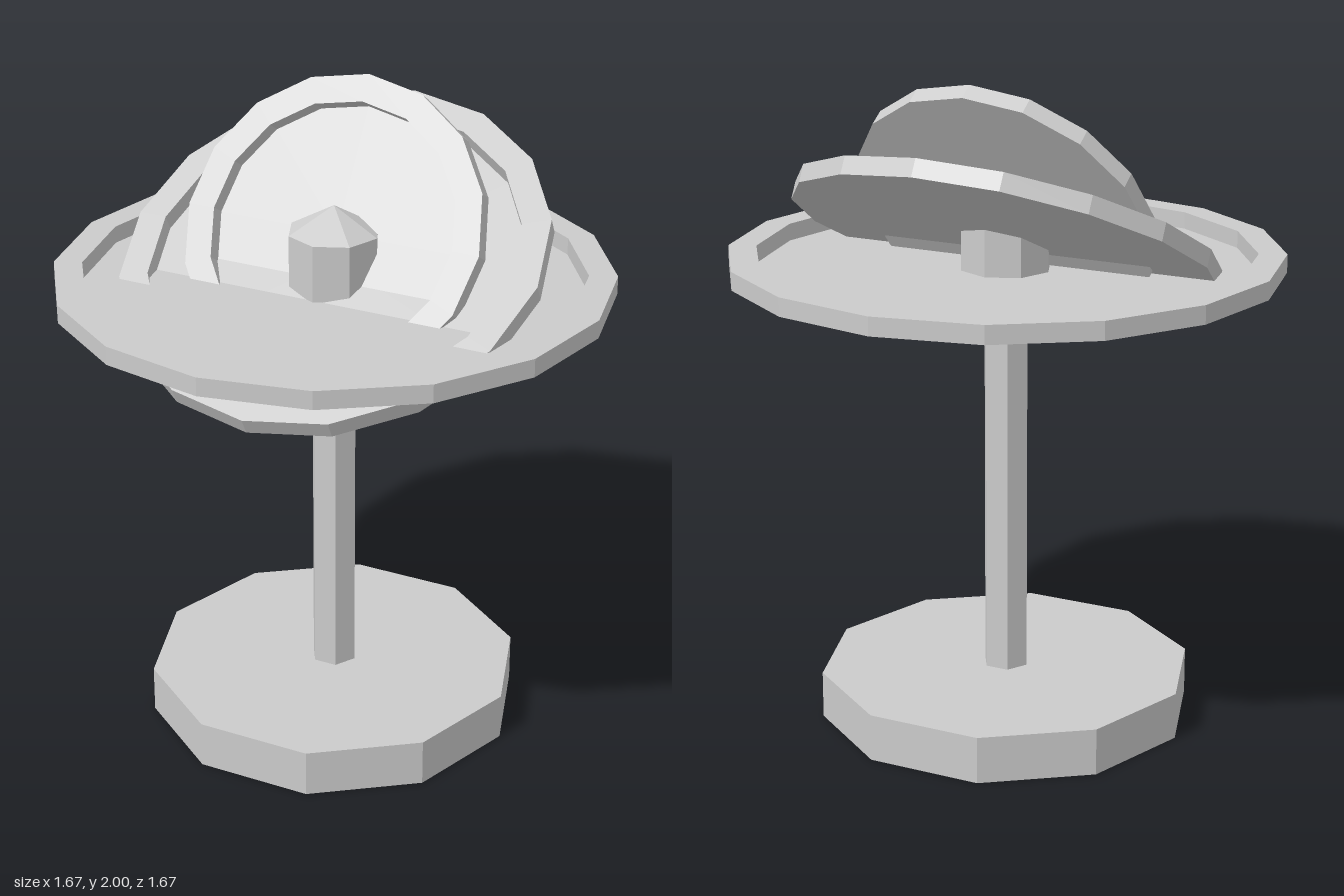
import * as THREE from 'three';

const material = new THREE.MeshStandardMaterial({ color: 0xcccccc, flatShading: true });

function addMesh(group, name, geometry, y) {
  const mesh = new THREE.Mesh(geometry, material);
  mesh.name = name;
  mesh.position.y = y;
  group.add(mesh);
  return mesh;
}

// Upright prism or cone from y0 to y1, with a corner on the x axis
function prism(group, name, rTop, rBottom, y0, y1, sides) {
  const geometry = new THREE.CylinderGeometry(rTop, rBottom, y1 - y0, sides);
  geometry.rotateY(Math.PI / 2);
  return addMesh(group, name, geometry, (y0 + y1) / 2);
}

// Shallow tray: flat rim around a thin floor level with the underside
function tray(radius, inner, height = 0.056, floor = 0.003) {
  const h = height / 2;
  const profile = [
    [0, -h], [radius, -h], [radius, h], [inner, h], [inner, -h + floor], [0, -h + floor],
  ].map(([x, y]) => new THREE.Vector2(x, y));
  return new THREE.LatheGeometry(profile, 16);
}

export function createModel() {
  const model = new THREE.Group();
  model.name = 'tilted dish stand';

  // Stand
  prism(model, 'base', 0.576, 0.576, 0, 0.145, 10);
  prism(model, 'pole', 0.072, 0.072, 0.145, 1.415, 6);

  // Three dishes, each smaller, higher and tilted further forward
  [
    ['largeDish', 0.835, 0.75],
    ['middleDish', 0.65, 0.562],
    ['smallDish', 0.472, 0.388],
  ].forEach(([name, radius, inner], i) => {
    addMesh(model, name, tray(radius, inner), 1.442 + i * 0.074).rotation.x = i * 0.5;
  });

  // Central hub with a pointed cap
  prism(model, 'hub', 0.14, 0.14, 1.416, 1.592, 8);
  prism(model, 'hubCap', 0, 0.14, 1.592, 1.672, 8);

  return model;
}
